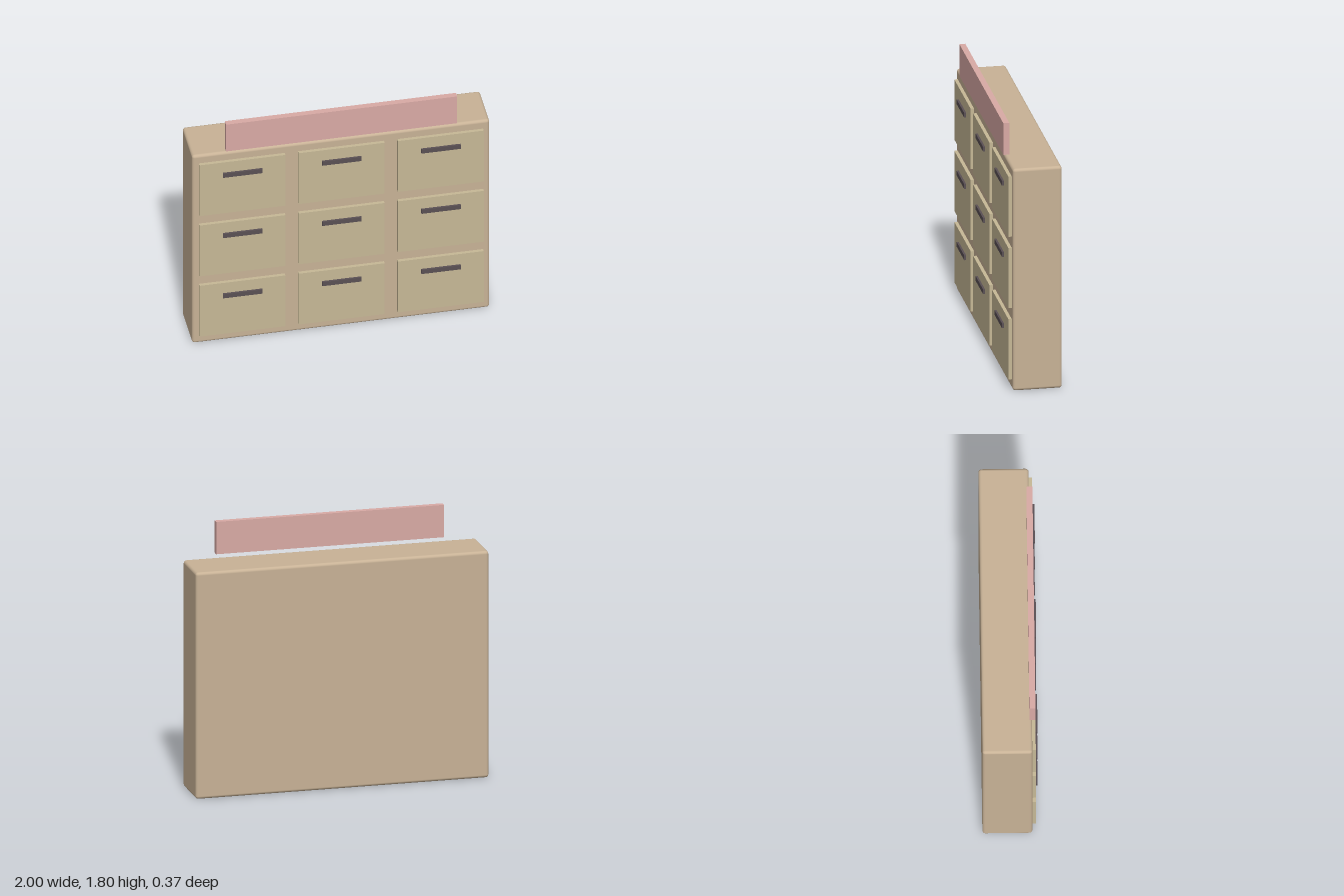
import * as THREE from 'three';
import { RoundedBoxGeometry } from 'three/addons/geometries/RoundedBoxGeometry.js';

export function createModel() {
  const group = new THREE.Group();
  const wood = new THREE.MeshStandardMaterial({ color: 0xc8b296 });
  const drawerWood = new THREE.MeshStandardMaterial({ color: 0xc6b896 });
  const metal = new THREE.MeshStandardMaterial({ color: 0x5a5054 });
  const pink = new THREE.MeshStandardMaterial({ color: 0xd9aaa5 });

  const add = (name, geometry, material, x, y, z) => {
    const mesh = new THREE.Mesh(geometry, material);
    mesh.name = name;
    mesh.position.set(x, y, z);
    group.add(mesh);
  };

  // Cabinet body with softly rounded edges
  add('cabinet', new RoundedBoxGeometry(2, 1.555, 0.33, 3, 0.02), wood, 0, 0.7775, -0.018);

  // Three by three drawer fronts, each with a bar handle near its top
  const front = new THREE.BoxGeometry(0.578, 0.422, 0.04);
  const bar = new THREE.BoxGeometry(0.265, 0.033, 0.025);
  for (let row = 0; row < 3; row++) {
    for (let col = -1; col <= 1; col++) {
      const x = col * 0.667;
      const y = 0.28 + row * 0.5;
      add('drawerFront', front, drawerWood, x, y, 0.15);
      add('drawerHandle', bar, metal, x, y + 0.11, 0.171);
    }
  }

  // Blank board floating above the cabinet
  add('headerBoard', new THREE.BoxGeometry(1.555, 0.222, 0.04), pink, 0, 1.691, 0.15);

  return group;
}
